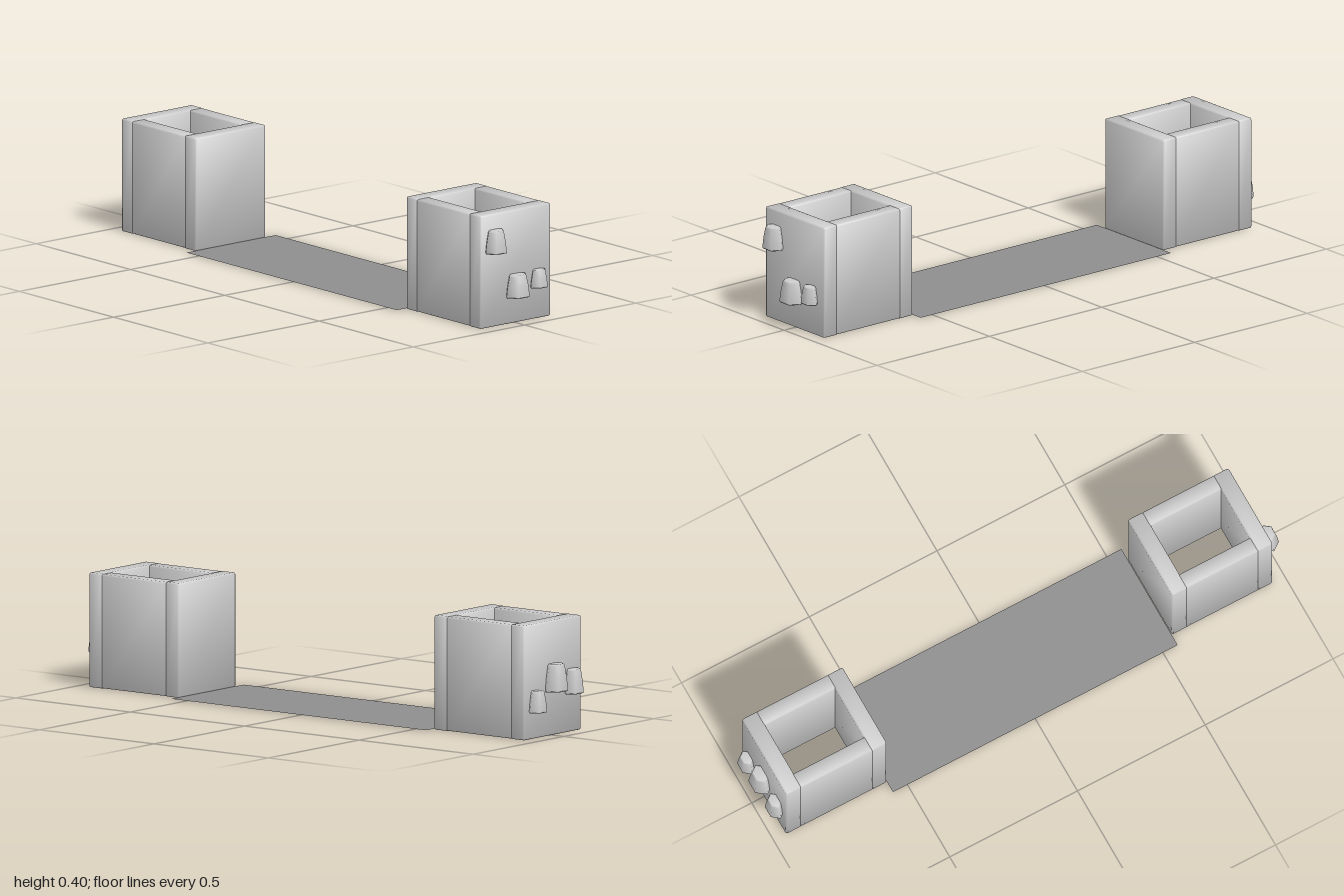
import * as THREE from 'three';

const material = new THREE.MeshStandardMaterial({ color: 0xcccccc });
const plateMaterial = new THREE.MeshStandardMaterial({ color: 0x8e8e8e, side: THREE.DoubleSide });

function addMesh(parent, name, geometry, x, y, z, mat = material) {
  const mesh = new THREE.Mesh(geometry, mat);
  mesh.name = name;
  mesh.position.set(x, y, z);
  parent.add(mesh);
  return mesh;
}

// Box with narrow bevels, shaded softly: normals lean outwards at the rim of each face
function softBox(width, height, depth, bevel = 0.006, lean = 0.42) {
  const geometry = new THREE.BoxGeometry(1, 1, 1, 3, 3, 3);
  const { position, normal } = geometry.attributes;
  const half = new THREE.Vector3(width, height, depth).multiplyScalar(0.5);
  const p = new THREE.Vector3(), n = new THREE.Vector3(), round = new THREE.Vector3();
  for (let i = 0; i < position.count; i++) {
    p.fromBufferAttribute(position, i);
    for (const axis of ['x', 'y', 'z']) {
      const outer = Math.abs(p[axis]) > 0.4, sign = Math.sign(p[axis]);
      n[axis] = sign * (outer ? 1 : lean);
      round[axis] = outer ? sign : 0;
      p[axis] = sign * (half[axis] - bevel);
    }
    p.addScaledVector(round.normalize(), bevel);
    n.normalize();
    position.setXYZ(i, p.x, p.y, p.z);
    normal.setXYZ(i, n.x, n.y, n.z);
  }
  return geometry;
}

// Open-topped, open-bottomed frame of four softly bevelled walls
function createFrame(side) {
  const frame = new THREE.Group();
  frame.name = side > 0 ? 'leftFrame' : 'rightFrame';
  const endWall = softBox(0.06, 0.398, 0.316);
  const sideWall = softBox(0.288, 0.396, 0.057);
  addMesh(frame, 'innerWall', endWall, side * 0.588, 0.199, 0);
  addMesh(frame, 'outerWall', endWall, side * 0.922, 0.199, 0);
  for (const z of [-1, 1]) addMesh(frame, 'sideWall', sideWall, side * 0.755, 0.199, z * 0.1295);
  return frame;
}

// Tapered six-sided grip with bevelled rims and smooth shading
function createGrip(side, z, y, height, width, reach) {
  const h = height / 2;
  const profile = [
    [0, -h], [0.95, -h], [1, -h * 0.9], [0.9, 0], [0.73, h * 0.88], [0.62, h], [0, h],
  ].map(([r, v]) => new THREE.Vector2(r, v));
  const geometry = new THREE.LatheGeometry(profile, 6);
  geometry.scale(reach, 1, width / 2);
  const grip = new THREE.Mesh(geometry, material);
  grip.name = 'grip';
  grip.position.set(side * 0.965, y + h, z);
  return grip;
}

export function createModel() {
  const model = new THREE.Group();
  model.name = 'twoFramesWithPlate';

  // Flat sheet joining the two frames
  const sheet = new THREE.PlaneGeometry(1.114, 0.4).rotateX(-Math.PI / 2);
  addMesh(model, 'plate', sheet, 0, 0.003, 0, plateMaterial);

  for (const side of [-1, 1]) model.add(createFrame(side));

  // Grips: side, z, base height, height, width, reach
  const grips = [
    [1, 0.099, 0.264, 0.08, 0.09, 0.036],
    [1, 0.001, 0.095, 0.079, 0.099, 0.04],
    [1, -0.095, 0.114, 0.062, 0.074, 0.028],
    [-1, -0.1, 0.093, 0.075, 0.08, 0.03],
    [-1, 0, 0.155, 0.095, 0.1, 0.04],
    [-1, 0.1, 0.135, 0.085, 0.085, 0.031],
  ];
  for (const grip of grips) model.add(createGrip(...grip));

  return model;
}
